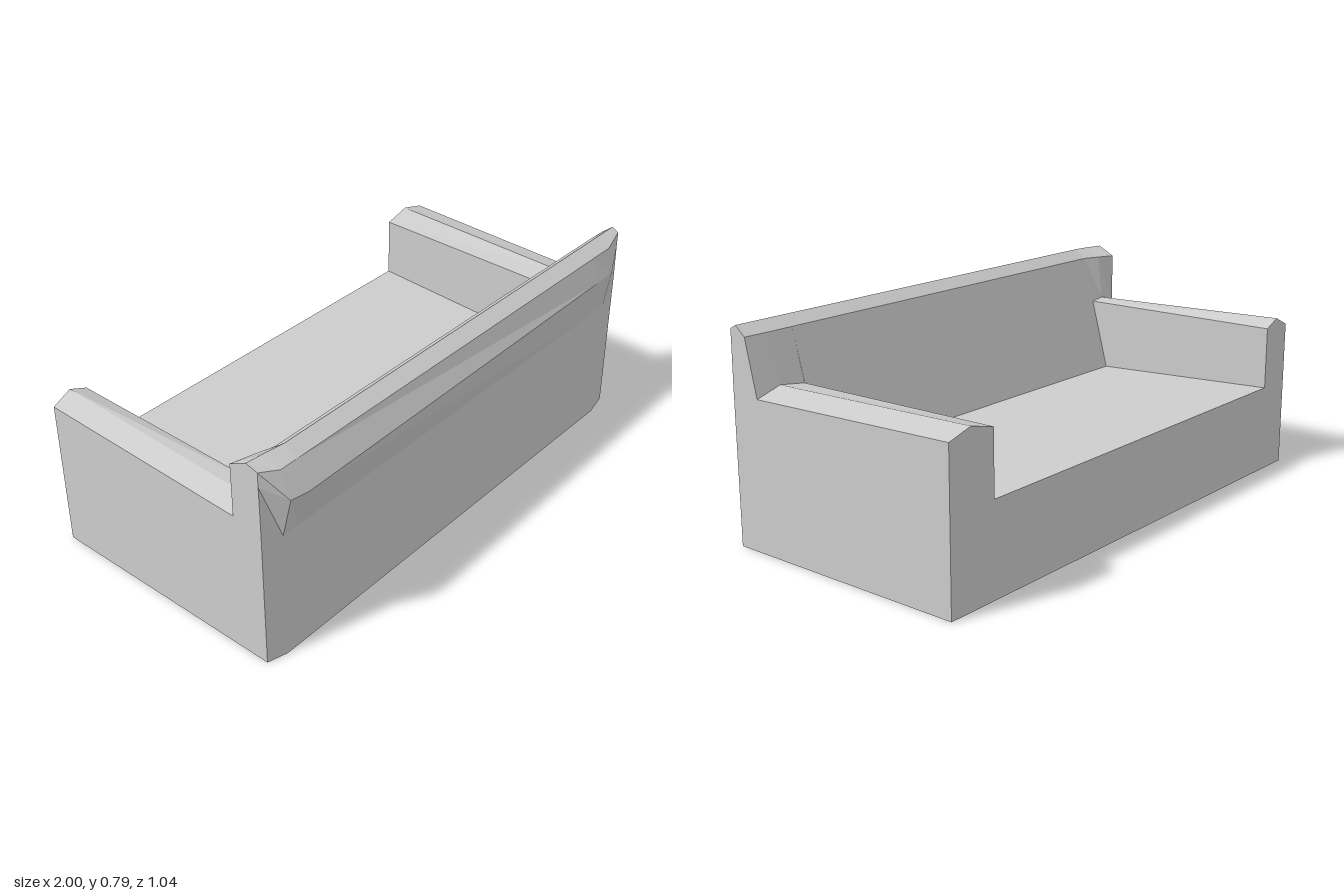
import * as THREE from 'three';

// Side profile at one x, listed as [z, y] from the open edge up and over the backrest
function section(x, { open, inner, lip, peak = [0.42, 0.79], rim, bulge, flare, foot = 0.47 }) {
  return [[-0.525, 0], [-0.525, open], inner, lip, peak, rim, bulge, flare, [foot, 0]]
    .map(([z, y]) => new THREE.Vector3(x, y, z));
}

// Joins successive profiles with flat faces and closes both ends
function loft(sections) {
  const pos = [];
  const tri = (a, b, c) => {
    if (new THREE.Triangle(a, b, c).getArea() < 1e-7) return;
    for (const p of [a, b, c]) pos.push(p.x, p.y, p.z);
  };
  const n = sections[0].length;
  for (let i = 0; i < sections.length - 1; i++) {
    const s = sections[i], t = sections[i + 1];
    for (let j = 0; j < n; j++) {
      const k = (j + 1) % n;
      tri(s[j], s[k], t[k]);
      tri(s[j], t[k], t[j]);
    }
  }
  // End caps fan out from the inner corner between arm and backrest
  const first = sections[0], last = sections[sections.length - 1];
  for (let j = 0; j < n; j++) {
    const k = (j + 1) % n;
    tri(last[2], last[j], last[k]);
    tri(first[2], first[k], first[j]);
  }
  const geo = new THREE.BufferGeometry();
  geo.setAttribute('position', new THREE.Float32BufferAttribute(pos, 3));
  geo.computeVertexNormals();
  return geo;
}

export function createModel() {
  const group = new THREE.Group();
  group.name = 'sofa';
  const material = new THREE.MeshStandardMaterial({ color: 0xcccccc, flatShading: true });

  // Backrest shapes for the middle span and for the narrowed ends
  const middle = (z) => ({ lip: [0.375, 0.755], rim: [0.47, 0.755], bulge: [z, 0.657], flare: [0.47, 0.5] });
  const end = { rim: [0.447, 0.775], bulge: [0.447, 0.72], flare: [0.449, 0.575], foot: 0.449 };
  const seat = { open: 0.34, inner: [0.25, 0.3] };

  const sections = [
    // Right arm: outer edge, crest, inner edge
    section(-1, { ...end, open: 0.575, inner: [0.33, 0.55], lip: [0.33, 0.752], peak: [0.4, 0.788] }),
    section(-0.925, { ...middle(0.508), open: 0.61, inner: [0.33, 0.582], lip: [0.352, 0.754], peak: [0.41, 0.79] }),
    section(-0.855, { ...middle(0.52), open: 0.58, inner: [0.326, 0.576] }),
    // Seat between the arms
    section(-0.855, { ...middle(0.52), ...seat }),
    section(0.795, { ...middle(0.497), ...seat }),
    // Left arm: inner edge, crest, outer edge
    section(0.795, { ...middle(0.497), open: 0.575, inner: [0.324, 0.565] }),
    section(0.9, { ...middle(0.493), open: 0.602, inner: [0.328, 0.58] }),
    section(1, { ...end, open: 0.575, inner: [0.33, 0.55], lip: [0.378, 0.755] }),
  ];

  const body = new THREE.Mesh(loft(sections), material);
  body.name = 'sofaBody';
  group.add(body);
  return group;
}
